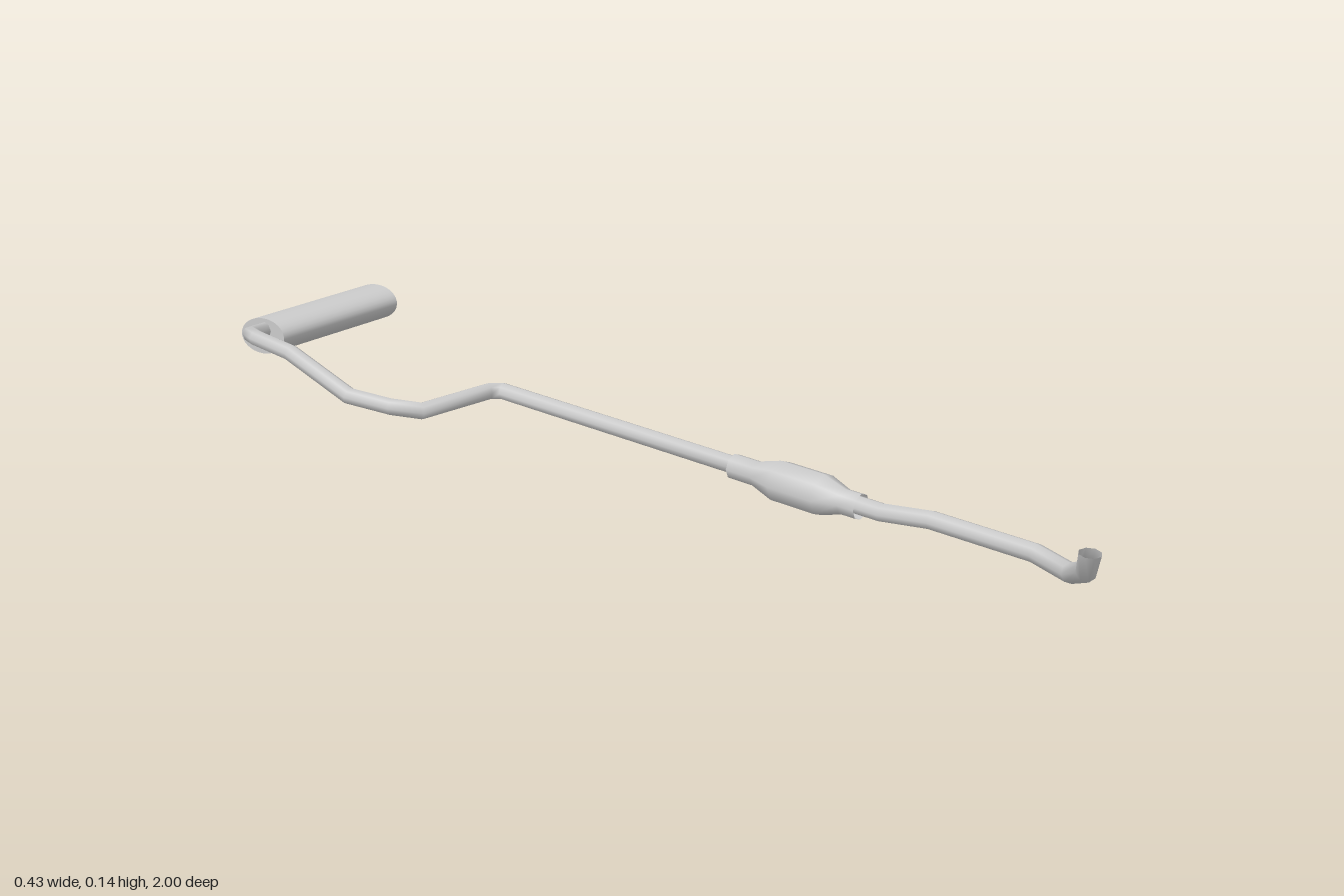
import * as THREE from 'three';

const SIDES = 8;
const RADIUS = 0.017;
const material = new THREE.MeshStandardMaterial({ color: 0xcccccc, side: THREE.DoubleSide });

// Round pipe with mitred bends: the ring slides along each segment onto the next bend plane
function mitredPipe(name, path, endNormal, endScale = 1) {
  const points = path.map(p => new THREE.Vector3(...p));
  const dirs = points.slice(1).map((p, i) => p.clone().sub(points[i]).normalize());
  const facing = Math.sign(dirs[0].z);
  let ring = [];
  for (let j = 0; j <= SIDES; j++) {
    const a = (j / SIDES) * Math.PI * 2;
    ring.push(new THREE.Vector3(Math.sin(a) * RADIUS * -facing, Math.cos(a) * RADIUS, 0).add(points[0]));
  }
  const positions = [], index = [];
  points.forEach((p, i) => {
    if (i > 0) {
      const d = dirs[i - 1];
      const n = i < dirs.length ? d.clone().add(dirs[i]) : (endNormal || d);
      ring = ring.map(v => v.clone().addScaledVector(d, p.clone().sub(v).dot(n) / d.dot(n)));
      if (i === dirs.length) ring = ring.map(v => v.sub(p).multiplyScalar(endScale).add(p));
    }
    ring.forEach(v => positions.push(v.x, v.y, v.z));
    if (i === 0) return;
    for (let j = 0; j < SIDES; j++) {
      const a = (i - 1) * (SIDES + 1) + j, b = a + SIDES + 1;
      index.push(a, a + 1, b, a + 1, b + 1, b);
    }
  });
  const geometry = new THREE.BufferGeometry();
  geometry.setAttribute('position', new THREE.Float32BufferAttribute(positions, 3));
  geometry.setIndex(index);
  geometry.computeVertexNormals();
  // Share the normal across the seam so the pipe shades smoothly all round
  const normals = geometry.attributes.normal;
  for (let i = 0; i < points.length; i++) {
    const a = i * (SIDES + 1), b = a + SIDES;
    const n = new THREE.Vector3().fromBufferAttribute(normals, a)
      .add(new THREE.Vector3().fromBufferAttribute(normals, b)).normalize();
    normals.setXYZ(a, n.x, n.y, n.z);
    normals.setXYZ(b, n.x, n.y, n.z);
  }
  const mesh = new THREE.Mesh(geometry, material);
  mesh.name = name;
  return mesh;
}

export function createModel() {
  const model = new THREE.Group();
  model.name = 'exhaustSystem';

  // Front pipe, running from the converter forward and up to the open inlet
  model.add(mitredPipe('frontPipe', [
    [0.055, 0.044, 0.47], [0.055, 0.044, 0.53], [0.055, 0.059, 0.63], [0.055, 0.059, 0.83],
    [0.018, 0.063, 0.915], [-0.042, 0.105, 0.972], [-0.057, 0.145, 0.984],
  ], new THREE.Vector3(0, 1, 0), 1.1));

  // Rear pipe, stepping sideways and arching up into the muffler
  model.add(mitredPipe('rearPipe', [
    [0.055, 0.044, 0.23], [0.055, 0.044, -0.38], [0.037, 0.044, -0.4], [-0.13, 0.045, -0.418],
    [-0.168, 0.053, -0.465], [-0.19, 0.058, -0.56], [-0.199, 0.113, -0.72],
    [-0.186, 0.113, -0.84], [-0.155, 0.101, -0.9], [-0.09, 0.09, -0.925],
  ], new THREE.Vector3(1, 0, 0)));

  // Catalytic converter: eight-sided barrel with open collars
  const profile = [
    [0.024, -0.14], [0.024, -0.085], [0.039, -0.035], [0.039, 0.06], [0.024, 0.105], [0.024, 0.14],
  ].map(([r, y]) => new THREE.Vector2(r, y));
  const converter = new THREE.Mesh(new THREE.LatheGeometry(profile, SIDES), material);
  converter.name = 'catalyticConverter';
  converter.rotation.x = Math.PI / 2;
  converter.position.set(0.055, 0.042, 0.347);
  model.add(converter);

  // Muffler: oval drum lying across the back, tipped down to the rear
  const drum = new THREE.CylinderGeometry(1, 1, 0.317, 32);
  drum.rotateZ(Math.PI / 2);
  drum.scale(1, 0.0385, 0.071);
  const muffler = new THREE.Mesh(drum, material);
  muffler.name = 'muffler';
  muffler.rotation.x = -0.21;
  muffler.position.set(0.0565, 0.077, -0.93);
  model.add(muffler);

  return model;
}
